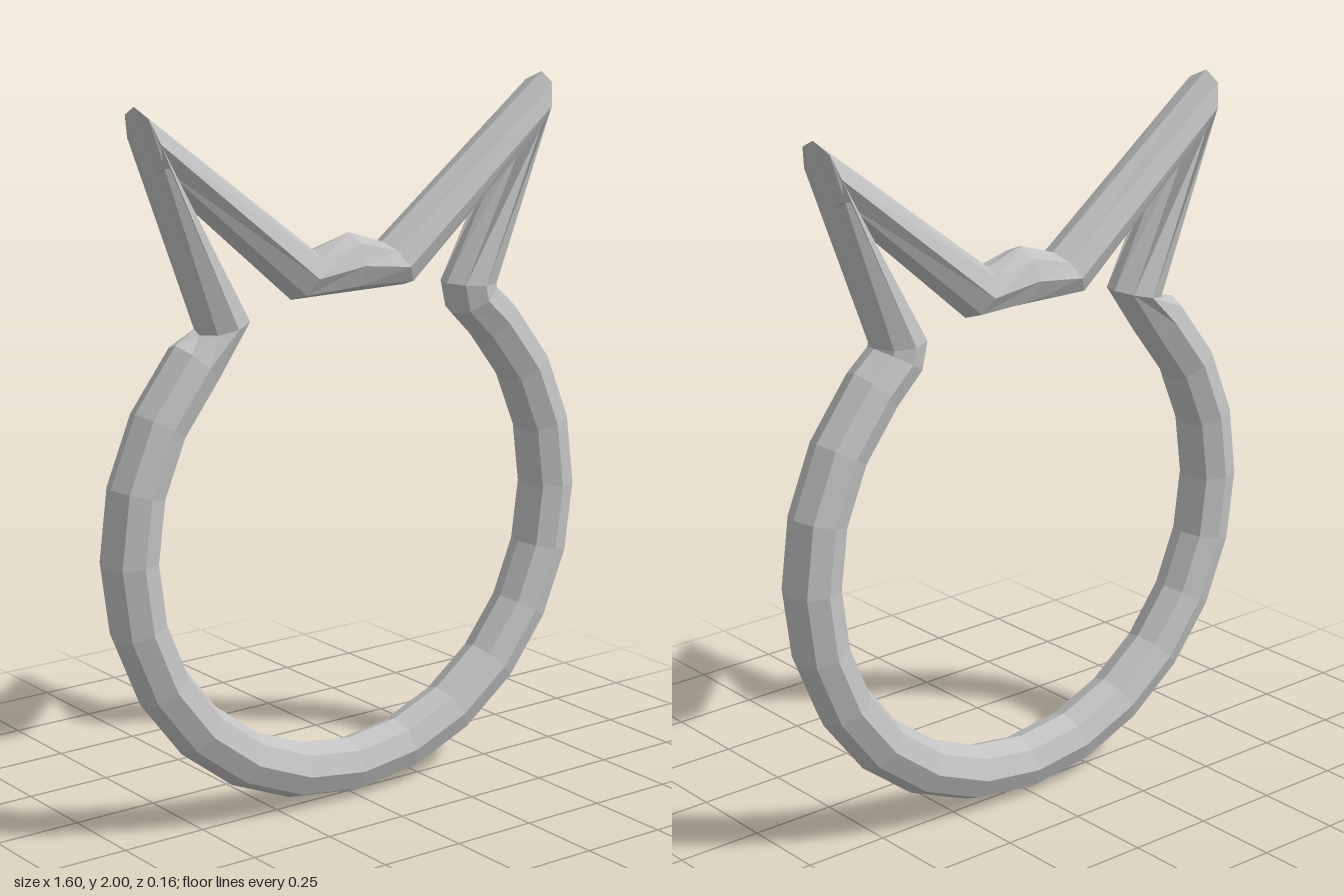
import * as THREE from 'three';

const SIDES = 8, HALF_DEPTH = 0.08;
const metal = new THREE.MeshStandardMaterial({ color: 0xc2c2c2, flatShading: true });
metal.name = 'silver grey';

// Sweeps an octagonal section through stations [outerX, outerY, innerX, innerY]
function sweep(name, stations) {
  const pos = [], index = [];
  for (const [ox, oy, ix, iy] of stations) {
    for (let j = 0; j < SIDES; j++) {
      const a = (j / SIDES) * Math.PI * 2, c = Math.cos(a) / 2;
      pos.push((ox + ix) / 2 + c * (ox - ix), (oy + iy) / 2 + c * (oy - iy), HALF_DEPTH * Math.sin(a));
    }
  }
  for (let i = 0; i < stations.length - 1; i++) {
    for (let j = 0; j < SIDES; j++) {
      const k = (j + 1) % SIDES;
      const a = i * SIDES + j, b = i * SIDES + k, c = a + SIDES, d = b + SIDES;
      index.push(a, b, c, b, d, c);
    }
  }
  const geo = new THREE.BufferGeometry();
  geo.setAttribute('position', new THREE.Float32BufferAttribute(pos, 3));
  geo.setIndex(index);
  geo.computeVertexNormals();
  const mesh = new THREE.Mesh(geo, metal);
  mesh.name = name;
  return mesh;
}

export function createModel() {
  const group = new THREE.Group();
  group.name = 'catEarRing';

  // Stations where the ears meet the band and the bridge
  const leftRoot = [0.5, 1.42, 0.344, 1.43];
  const rightRoot = [-0.49, 1.385, -0.344, 1.42];
  const mirror = ([ox, oy, ix, iy]) => [-ox, oy, -ix, iy];
  const tip = [0.68, 2.0, 0.622, 1.82];
  const bridgeEnd = [0.115, 1.572, 0.193, 1.445];

  // Round band, clockwise from the left ear to the right ear
  const band = [leftRoot, [0.5, 1.42, 0.365, 1.34]];
  for (let deg = 45; deg >= -225; deg -= 15) {
    const a = THREE.MathUtils.degToRad(deg), c = Math.cos(a), s = Math.sin(a);
    band.push([0.8 * c, 0.8 + 0.8 * s, 0.64 * c, 0.8 + 0.64 * s]);
  }
  band.push(rightRoot);
  group.add(sweep('band', band));

  // Pointed ears and the short bridge between them
  group.add(sweep('rightEar', [rightRoot, mirror(tip), mirror(bridgeEnd)]));
  group.add(sweep('bridge', [mirror(bridgeEnd), [0, 1.61, 0, 1.445], bridgeEnd]));
  group.add(sweep('leftEar', [bridgeEnd, tip, leftRoot]));
  return group;
}
